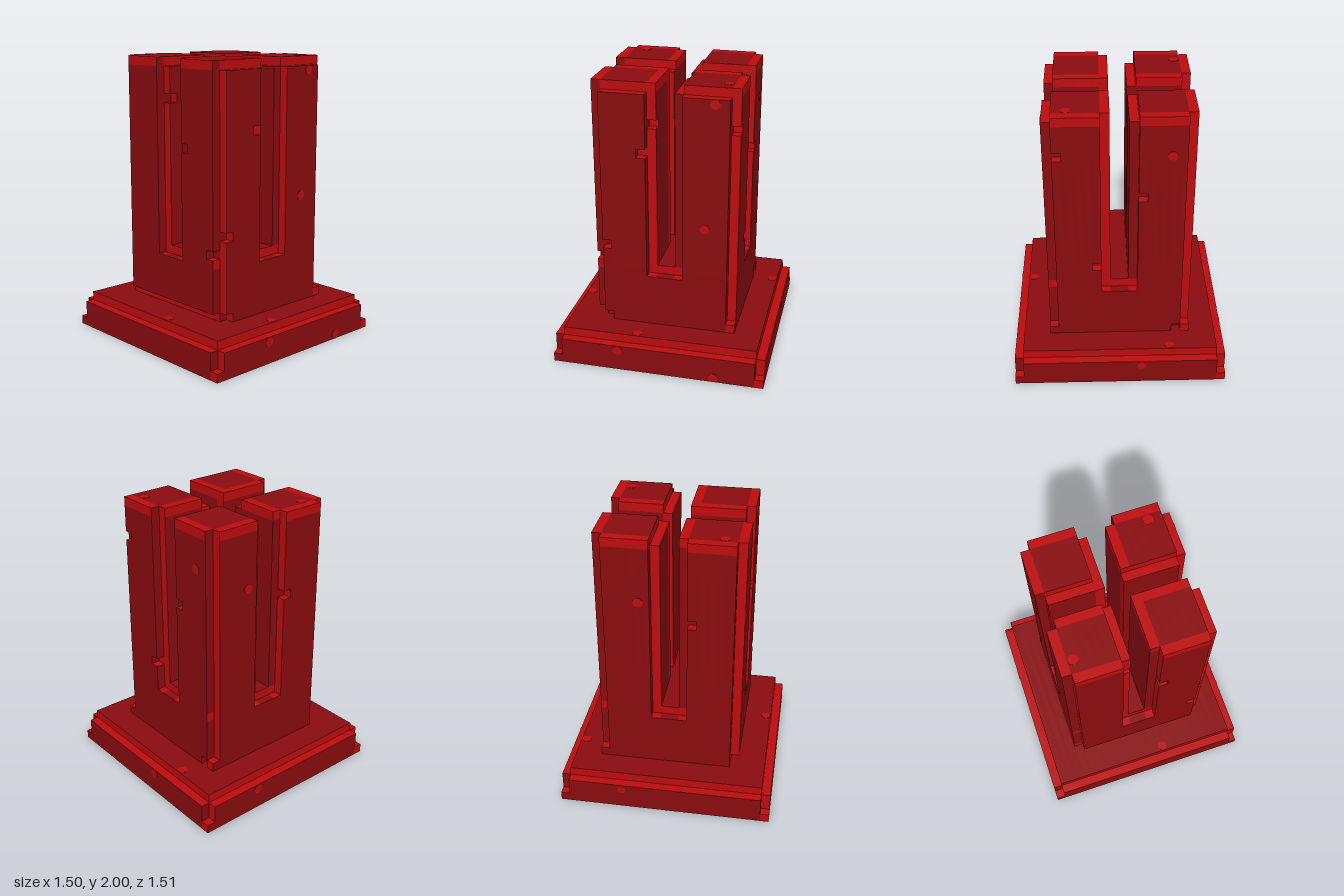
import * as THREE from 'three';

const U = 1 / 16; // block size
const mirror = (v) => (v >= 0 ? v : -1 - v); // block index counted outwards from the centre

// small blocks broken out of the edges: x, y, z index
const chips = new Set([
  [-3, 24, 7], [-7, 13, 7], [-8, 11, 6], [-2, 27, 6], [7, 27, 6], [-7, 4, 7],
  [7, 22, -3], [7, 13, 2], [7, 4, -7],
  [-8, 22, 2], [-7, 27, -2], [-3, 22, -8],
].map(String));

// true where the stone is solid
function solid(i, j, k) {
  const a = mirror(i), b = mirror(k);
  if (j < 0 || j > 31) return false;
  if (j < 4) { // plinth with stepped rim and notched corners
    if (j === 3) return a < 11 && b < 11;
    return a < 12 && b < 12 && !(j > 0 && a === 11 && b === 11);
  }
  if (a > 7 || b > 7 || chips.has(String([i, j, k]))) return false;
  if (j >= 11 && (a === 0 || b === 0)) return false; // crossing slots
  if (j >= 5 && a === 7 && b === 7) return false; // notched corners
  if (j === 4 && i === -8) return false; // undercut on one side
  if (j >= 10 && ((b === 7 && a <= 1) || (a === 7 && b <= 1))) return false; // slot rims
  if (j === 31 && (k === 7 || i === 1 || k === -2)) return false; // worn top edges
  return true;
}

// true where a face belongs to the bright worn edging
function isEdge(i, j, k, n) {
  const a = mirror(i), b = mirror(k);
  if (n[1] < 0) return false;
  if (n[1] > 0) {
    if (j < 3) return true;
    if (j === 3 || a === 0 || b === 0) return false;
    return [1, 7].includes(a) || [1, 7].includes(b);
  }
  // u runs to the right when looking straight at the face
  const u = n[2] > 0 ? i : n[2] < 0 ? -1 - i : n[0] > 0 ? -1 - k : k;
  const depth = n[0] ? (n[0] > 0 ? i + 1 : -i) : (n[2] > 0 ? k + 1 : -k);
  if (j < 4) return j === 3 || u === 11;
  if (u === 7) return true;
  if (j === 4) return n[0] < 0 && depth === 7;
  if (j < 10) return false;
  if (j === 10) return depth === 7;
  if (j === 31) return u !== -8;
  return u === -2 || (u === -3 && depth === 7);
}

// skin of the solid inside a box of blocks, equal neighbours joined along one axis
function stone(name, lo, hi, materials) {
  const lists = [[], []];
  for (let axis = 0; axis < 3; axis++) for (const s of [-1, 1]) {
    const n = [0, 0, 0];
    n[axis] = s;
    const run = axis === 1 ? 0 : 1; // join along x on flat faces, along y on walls
    const across = 3 - axis - run;
    const kind = (c) => (solid(...c) && !solid(c[0] + n[0], c[1] + n[1], c[2] + n[2])
      ? (isEdge(c[0], c[1], c[2], n) ? 1 : 0) : -1);
    const c = [0, 0, 0];
    for (let p = lo[axis]; p < hi[axis]; p++) for (let q = lo[across]; q < hi[across]; q++) {
      c[axis] = p;
      c[across] = q;
      let start = lo[run], last = -1;
      for (let r = lo[run]; r <= hi[run]; r++) {
        c[run] = r;
        const now = r < hi[run] ? kind(c) : -1;
        if (now === last) continue;
        if (last >= 0) {
          const corner = (x, y) => {
            const v = [0, 0, 0];
            v[axis] = (p + (s > 0 ? 1 : 0)) * U;
            v[run] = x * U;
            v[across] = y * U;
            return v;
          };
          const quad = [corner(start, q), corner(r, q), corner(r, q + 1), corner(start, q + 1)];
          // turn the corners so the face looks outwards
          const outward = ((run - axis + 3) % 3 === 1) === (s > 0);
          if (!outward) quad.reverse();
          for (const t of [0, 1, 2, 0, 2, 3]) lists[last].push(...quad[t]);
        }
        start = r;
        last = now;
      }
    }
  }
  const geo = new THREE.BufferGeometry();
  geo.setAttribute('position', new THREE.Float32BufferAttribute(lists[0].concat(lists[1]), 3));
  geo.addGroup(0, lists[0].length / 3, 0);
  geo.addGroup(lists[0].length / 3, lists[1].length / 3, 1);
  geo.computeVertexNormals();
  const mesh = new THREE.Mesh(geo, materials);
  mesh.name = name;
  return mesh;
}

export function createModel() {
  const group = new THREE.Group();
  group.name = 'slottedStoneTower';
  const dark = new THREE.MeshStandardMaterial({ color: 0x8a0c0f });
  dark.name = 'dark red';
  const bright = new THREE.MeshStandardMaterial({ color: 0xbe0c0f });
  bright.name = 'bright red';
  const materials = [dark, bright];

  group.add(stone('plinth', [-12, 0, -12], [12, 4, 12], materials));
  group.add(stone('towerBody', [-8, 4, -8], [8, 11, 8], materials));
  for (const x of [-8, 0]) for (const z of [-8, 0]) {
    const name = (z ? 'back' : 'front') + (x ? 'Right' : 'Left') + 'Pillar';
    group.add(stone(name, [x, 11, z], [x + 8, 32, z + 8], materials));
  }

  // round wear spots: position and facing axis
  const spotGeo = new THREE.CylinderGeometry(0.034, 0.034, 0.006, 10);
  const spots = [
    [0.34, 1.905, 0.5, 'z'], [0.28, 1.03, 0.5, 'z'], [-0.28, 0.153, 0.75, 'z'], [0.4, 0.034, 0.75, 'z'],
    [0.5, 1.72, -0.34, 'x'], [0.75, 0.153, -0.15, 'x'],
    [0.2, 1.55, -0.5, 'z'], [0.3, 0.153, -0.75, 'z'],
    [-0.35, 2, -0.4, 'y'], [0.4, 2, 0.34, 'y'],
    [0.65, 0.25, -0.35, 'y'], [-0.65, 0.25, 0.15, 'y'], [-0.16, 0.25, 0.65, 'y'],
  ];
  for (const [x, y, z, axis] of spots) {
    const spot = new THREE.Mesh(spotGeo, bright);
    spot.name = 'wearSpot';
    spot.position.set(x, y - (axis === 'y' ? 0.001 : 0), z);
    if (axis === 'z') spot.rotation.x = Math.PI / 2;
    if (axis === 'x') spot.rotation.z = Math.PI / 2;
    group.add(spot);
  }
  return group;
}
